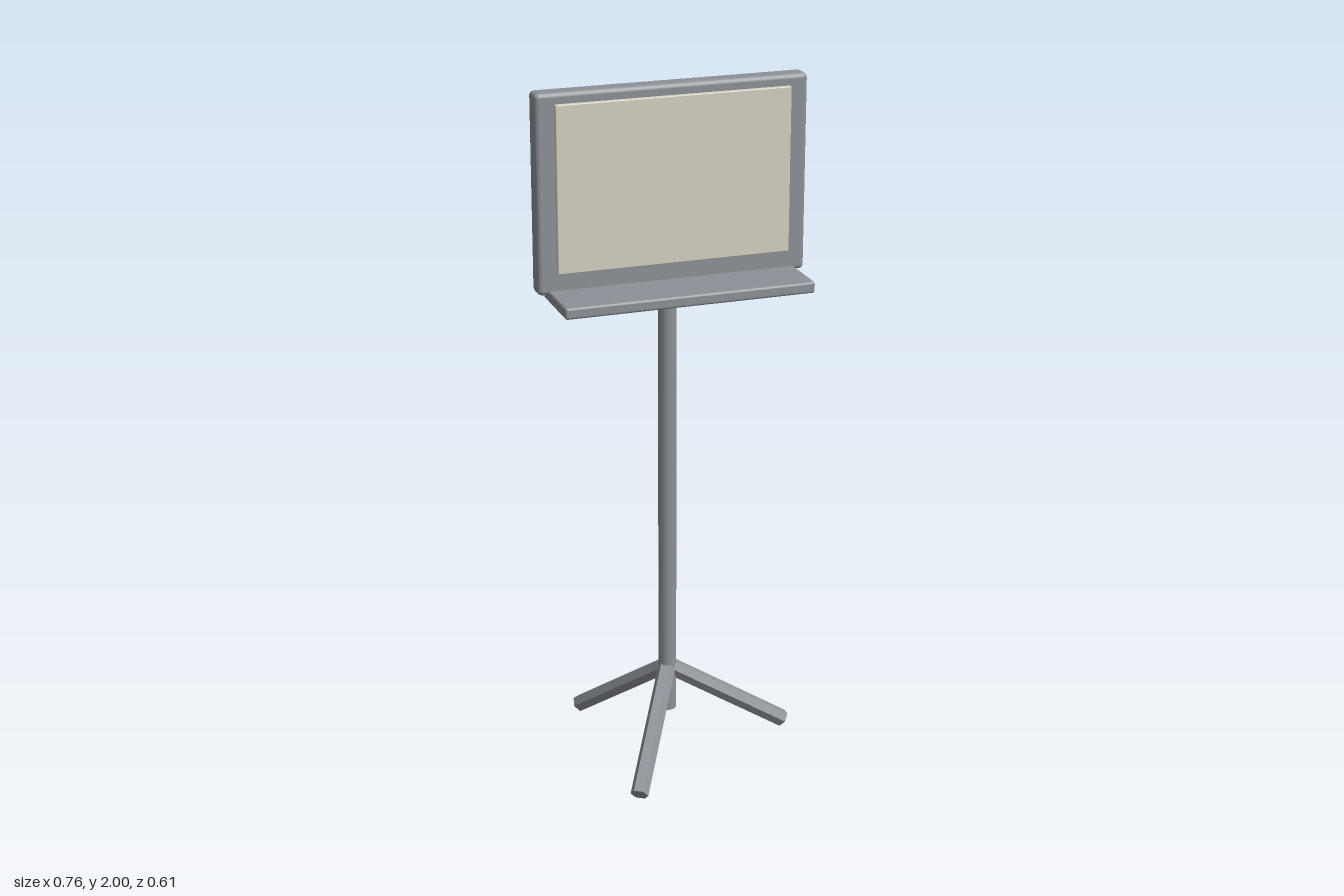
import * as THREE from 'three';
import { RoundedBoxGeometry } from 'three/addons/geometries/RoundedBoxGeometry.js';

export function createModel() {
  const model = new THREE.Group();
  model.name = 'musicStand';

  const metal = new THREE.MeshStandardMaterial({ color: 0x8e9298 });
  metal.name = 'grey metal';
  const cream = new THREE.MeshStandardMaterial({ color: 0xd6d2c3 });
  cream.name = 'cream paper';

  function add(name, geometry, material, x = 0, y = 0, z = 0) {
    const mesh = new THREE.Mesh(geometry, material);
    mesh.name = name;
    mesh.position.set(x, y, z);
    model.add(mesh);
    return mesh;
  }

  // Desk panel, sheet and ledge
  add('deskPanel', new RoundedBoxGeometry(0.764, 0.55, 0.06, 2, 0.013), metal, 0, 1.725, 0.023);
  add('paperSheet', new RoundedBoxGeometry(0.66, 0.46, 0.016, 1, 0.003), cream, 0, 1.74, 0.059);
  add('ledge', new RoundedBoxGeometry(0.706, 0.032, 0.206, 2, 0.007), metal, 0, 1.446, 0.104);

  // Upright pole behind the panel
  add('pole', new THREE.CylinderGeometry(0.026, 0.026, 1.605, 14), metal, 0, 0.9275, 0);

  // Three hexagonal tripod legs, each with a flat face on top
  const top = new THREE.Vector3(0, 0.262, 0);
  const feet = [
    ['leftLeg', 0.365, 0],
    ['frontRightLeg', -0.183, 0.288],
    ['backRightLeg', -0.183, -0.288],
  ];
  for (const [name, x, z] of feet) {
    const foot = new THREE.Vector3(x, 0.02, z);
    const length = top.distanceTo(foot);
    // Non-indexed so the faces stay crisp
    const geometry = new THREE.CylinderGeometry(0.026, 0.026, length, 6).toNonIndexed();
    geometry.computeVertexNormals();
    geometry.rotateX(Math.PI / 2);
    const leg = add(name, geometry, metal);
    leg.position.copy(top).lerp(foot, 0.5);
    leg.lookAt(foot);
    // Vertices of the hexagon lie on the sideways axis
    leg.rotateZ(Math.PI / 2);
  }

  return model;
}
